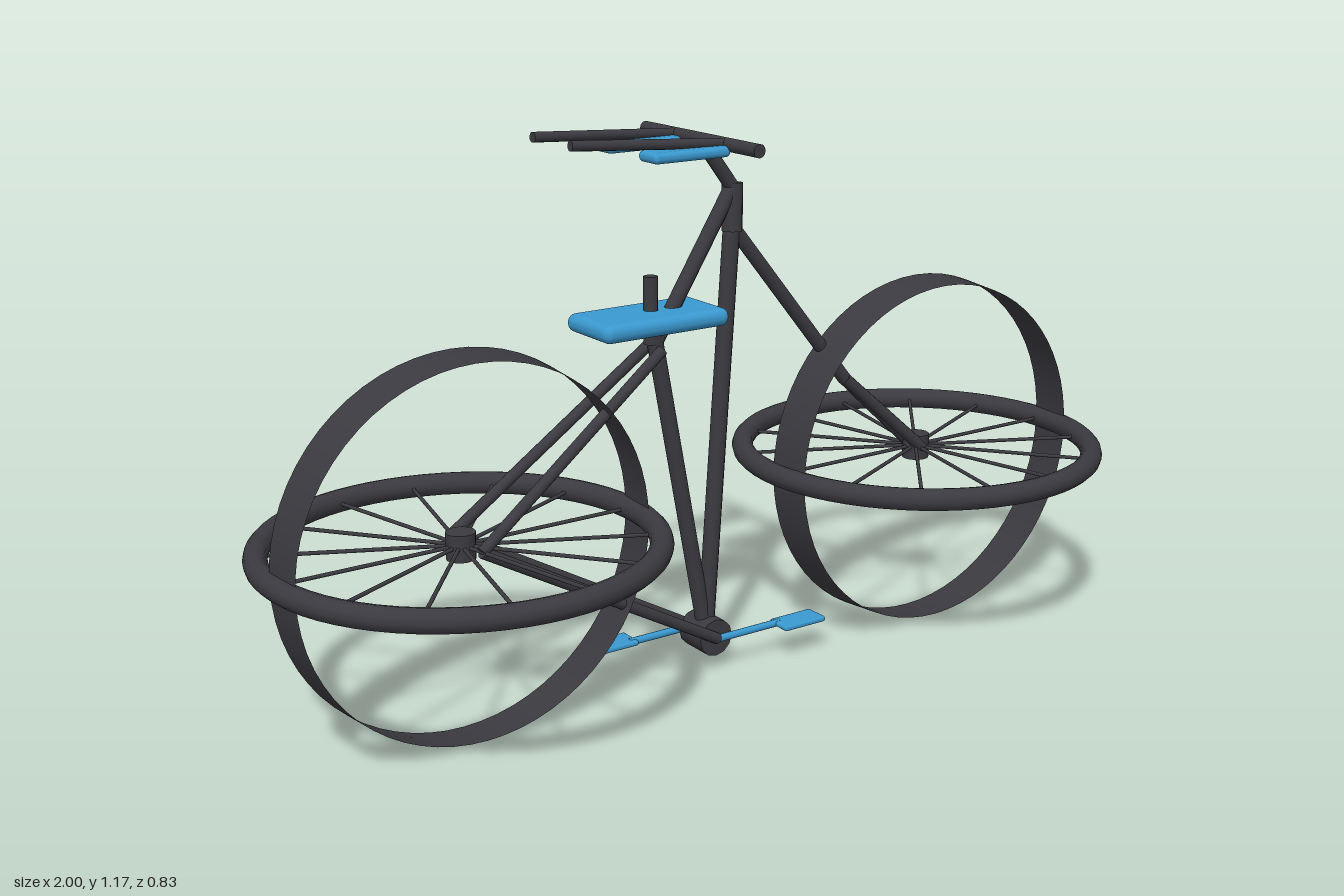
import * as THREE from 'three';
import { RoundedBoxGeometry } from 'three/addons/geometries/RoundedBoxGeometry.js';

const dark = new THREE.MeshStandardMaterial({ color: 0x3b3a40 });
const bandMat = new THREE.MeshStandardMaterial({ color: 0x3b3a40, side: THREE.DoubleSide });
const blue = new THREE.MeshStandardMaterial({ color: 0x3a99d0 });

export function createModel() {
  const bike = new THREE.Group();
  bike.name = 'bicycle';

  const add = (name, geo, mat, pos = [0, 0, 0], parent = bike) => {
    const m = new THREE.Mesh(geo, mat);
    m.name = name;
    m.position.set(...pos);
    parent.add(m);
    return m;
  };

  // Straight round tube between two points
  const tube = (name, a, b, r, mat = dark, parent = bike) => {
    const p = new THREE.Vector3(...a), q = new THREE.Vector3(...b);
    const dir = q.clone().sub(p);
    const m = add(name, new THREE.CylinderGeometry(r, r, dir.length(), 12), mat,
      p.clone().add(q).multiplyScalar(0.5).toArray(), parent);
    m.quaternion.setFromUnitVectors(new THREE.Vector3(0, 1, 0), dir.normalize());
    return m;
  };

  // Wheels: flat tyre with spokes, plus an upright open band
  for (const [name, x] of [['rearWheel', -0.583], ['frontWheel', 0.583]]) {
    const wheel = new THREE.Group();
    wheel.name = name;
    wheel.position.set(x, 0.4, 0);
    bike.add(wheel);
    add('tyre', new THREE.TorusGeometry(0.393, 0.024, 12, 64).rotateX(Math.PI / 2), dark, [0, 0, 0], wheel);
    add('rimBand', new THREE.CylinderGeometry(0.384, 0.392, 0.1, 64, 1, true).rotateX(Math.PI / 2),
      bandMat, [0, 0, 0.035], wheel);
    add('hub', new THREE.CylinderGeometry(0.03, 0.03, 0.055, 16), dark, [0, 0, 0], wheel);
    const spokes = 14;
    for (let i = 0; i < spokes; i++) {
      const t = (i / spokes) * Math.PI * 2, c = Math.cos(t), s = Math.sin(t);
      tube('spoke', [0.02 * c, 0, 0.02 * s], [0.385 * c, 0, 0.385 * s], 0.004, dark, wheel);
    }
  }

  // Main frame
  tube('seatTube', [0, 0.08, 0], [-0.132, 0.78, 0], 0.017);
  tube('downTube', [0, 0.08, 0], [0.067, 0.98, 0], 0.018);
  tube('topTube', [-0.125, 0.74, 0], [0.065, 1.04, 0], 0.016);
  tube('headTube', [0.066, 0.95, 0.001], [0.07, 1.05, -0.004], 0.022);
  tube('seatPost', [-0.135, 0.74, 0], [-0.135, 0.88, 0], 0.015);
  tube('bottomBracket', [0, 0.08, -0.04], [0, 0.08, 0.04], 0.041);

  // Fork crown, then paired parts on both sides
  tube('forkStem', [0.067, 0.96, 0], [0.37, 0.59, 0], 0.015);
  tube('handlebar', [-0.012, 1.146, -0.2], [-0.012, 1.146, 0.2], 0.014);
  tube('stem', [0.068, 1.04, 0], [-0.012, 1.146, 0], 0.015);
  add('forkBend', new THREE.SphereGeometry(0.015, 12, 8), dark, [0.37, 0.59, 0]);

  for (const s of [-1, 1]) {
    tube('forkBlade', [0.37, 0.59, 0.004 * s], [0.583, 0.4, 0.021 * s], 0.013);
    tube('seatStay', [-0.125, 0.73, 0.026 * s], [-0.57, 0.4, 0.063 * s], 0.012);
    tube('chainStay', [-0.57, 0.4, 0.063 * s], [0, 0.08, 0.046 * s], 0.012);
    // Forearm rests and extension bars
    tube('extensionBar', [-0.01, 1.148, 0.088 * s], [-0.36, 1.17, 0.07 * s], 0.0105);
    add('armPad', new RoundedBoxGeometry(0.18, 0.022, 0.065, 3, 0.01), blue, [-0.107, 1.135, 0.083 * s]);
    // Crank and pedal
    tube('crank', [0, 0.08, 0.046 * s], [0.165 * s, 0.08, 0.046 * s], 0.008, blue);
    add('pedal', new RoundedBoxGeometry(0.11, 0.012, 0.06, 2, 0.005), blue, [0.205 * s, 0.08, 0.06 * s]);
  }

  // Saddle
  add('saddle', new RoundedBoxGeometry(0.3, 0.038, 0.158, 4, 0.018), blue, [-0.14, 0.791, 0]);

  return bike;
}
